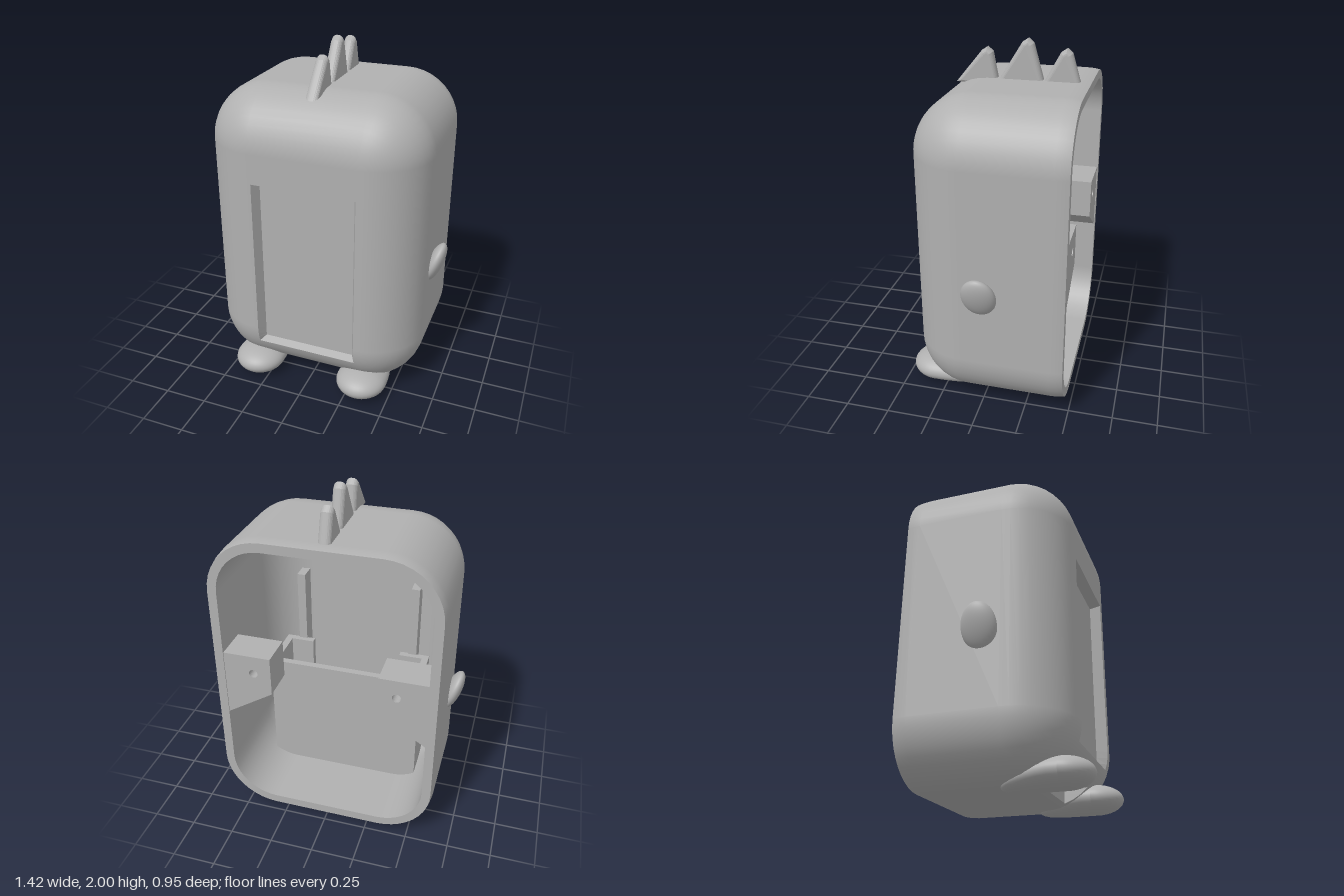
import * as THREE from 'three';

const rad = THREE.MathUtils.degToRad;
// Body: rounded box of fillet radius R, cut open at the back
const R = 0.32, CX = 0.315, TOP = 1.465, BOT = 0.35, ZC = 0.085, BACK = -0.475, FRONT = 0.405;
const WIN = 0.3, SLOT = 0.165;

// Rounded-rectangle loop as corner centres with outward directions, counter-clockwise from the front
function bodyLoop() {
  const pts = [];
  [[CX, TOP], [-CX, TOP], [-CX, BOT], [CX, BOT]].forEach(([x, y], q) => {
    if (q === 3) for (const e of [-WIN, -SLOT, SLOT, WIN]) pts.push({ x: e, y: BOT, dx: 0, dy: -1 });
    for (let i = 0; i <= 10; i++) {
      const a = (q + i / 10) * Math.PI / 2;
      pts.push({ x, y, dx: Math.cos(a), dy: Math.sin(a) });
    }
  });
  pts.push(pts[0]);
  return pts;
}

// Skin swept over rows { r, z, nx, nz, t }, leaving out the quads that skip() picks
function skin(loop, rows, flip, skip = () => false) {
  const pos = [], nor = [], idx = [], n = loop.length, s = flip ? -1 : 1;
  for (const w of rows) for (const p of loop) {
    pos.push(p.x + p.dx * w.r, p.y + p.dy * w.r, w.z);
    nor.push(s * p.dx * w.nx, s * p.dy * w.nx, s * w.nz);
  }
  for (let i = 0; i < rows.length - 1; i++) for (let j = 0; j < n - 1; j++) {
    if (skip(loop[j], loop[j + 1], rows[i].t, rows[i + 1].t)) continue;
    const a = i * n + j, b = a + 1, c = b + n, d = a + n;
    if (flip) idx.push(a, c, b, a, d, c);
    else idx.push(a, b, c, a, c, d);
  }
  const g = new THREE.BufferGeometry();
  g.setAttribute('position', new THREE.Float32BufferAttribute(pos, 3));
  g.setAttribute('normal', new THREE.Float32BufferAttribute(nor, 3));
  g.setIndex(idx);
  return g;
}

// Flat-shaded closed band between two loops of [x, y, z]
function band(A, B) {
  const pos = [];
  A.forEach((a, i) => {
    const k = (i + 1) % A.length;
    for (const p of [a, A[k], B[k], a, B[k], B[i]]) pos.push(...p);
  });
  const g = new THREE.BufferGeometry();
  g.setAttribute('position', new THREE.Float32BufferAttribute(pos, 3));
  g.computeVertexNormals();
  return g;
}

const polygon = (pts) => new THREE.Shape(pts.map(([x, y]) => new THREE.Vector2(x, y)));
const arcRow = (t, r, zc) => ({
  t, r: r * Math.cos(rad(t)), z: zc + r * Math.sin(rad(t)), nx: Math.cos(rad(t)), nz: Math.sin(rad(t)),
});

export function createModel() {
  const group = new THREE.Group();
  const gray = new THREE.MeshStandardMaterial({ color: 0xb0b0b0, side: THREE.DoubleSide });
  gray.name = 'plain gray';
  const add = (name, geo, x = 0, y = 0, z = 0) => {
    const m = new THREE.Mesh(geo, gray);
    m.name = name;
    m.position.set(x, y, z);
    group.add(m);
    return m;
  };
  const box = (name, x0, x1, y0, y1, z0, z1) =>
    add(name, new THREE.BoxGeometry(x1 - x0, y1 - y0, z1 - z0), (x0 + x1) / 2, (y0 + y1) / 2, (z0 + z1) / 2);
  const plate = (name, w, y0, y1, z) =>
    add(name, new THREE.PlaneGeometry(2 * w, y1 - y0), 0, (y0 + y1) / 2, z);

  // Outer shell, with the window and the cable slot left open
  const loop = bodyLoop();
  const winT = 70.85, slotT = [17.6, 27, 36, 45.3];
  const outer = [-13.56, -7, 0, 9, ...slotT, 54, 62, winT, 77, 83.5, 90].map((t) => arcRow(t, R, ZC));
  outer.slice(0, 2).forEach((w) => { w.z -= 0.485; }); // the back fillet starts further back
  outer.splice(2, 0, { ...arcRow(0, R, -0.4), t: 0 });
  const within = (p, q, w) => p.dy === -1 && q.dy === -1 && Math.abs(p.x) < w + 0.001 && Math.abs(q.x) < w + 0.001;
  add('shell', skin(loop, outer, false, (p, q, t0, t1) =>
    (within(p, q, WIN) && t0 >= winT) || (within(p, q, SLOT) && t0 >= slotT[0] && t1 <= slotT[3])));

  // Flat front around the window
  add('frontFace', new THREE.ShapeGeometry(polygon([
    [-CX, BOT], [-WIN, BOT], [-WIN, 1.29], [WIN, 1.29], [WIN, BOT], [CX, BOT], [CX, TOP], [-CX, TOP],
  ])), 0, 0, FRONT);

  // Inner cavity and the back rim
  const inner = [0, 15, 30, 45, 60, 75, 90].map((t) => arcRow(t, 0.26, 0.05));
  inner.unshift({ ...inner[0], z: BACK });
  add('cavity', skin(loop, inner, true));
  const cavityEnd = plate('cavityFront', CX, BOT, TOP, 0.31);
  cavityEnd.rotation.y = Math.PI;
  const ring = (w) => loop.slice(0, -1).map((p) => [p.x + p.dx * w.r, p.y + p.dy * w.r, BACK]);
  add('backRim', band(ring(inner[0]), ring(outer[0])));

  // Openings that begin on the lower front fillet
  const opening = (w, ts, top) => {
    const right = ts.map((t) => [w, BOT - R * Math.cos(rad(t)), ZC + R * Math.sin(rad(t))]);
    if (top) right.push([w, top, FRONT]);
    return [...right, ...right.map(([x, y, z]) => [-x, y, z]).reverse()];
  };
  const clamp = THREE.MathUtils.clamp;
  const win = opening(WIN, [winT, 77, 83.5, 90], 1.29);
  add('windowFrame', band(win, win.map(([x, y]) => [clamp(x, -0.275, 0.275), clamp(y, 0.265, 1.265), 0.345])));
  plate('windowPanel', 0.275, 0.265, 1.265, 0.345);
  const slot = opening(SLOT, slotT);
  add('cableSlot', band(slot, slot.map(([x, y]) => [x, y, 0.18])));
  plate('cableSlotPanel', SLOT, 0.045, 0.125, 0.18);

  // Inside holder: back plate, side walls, front lips and tall rails
  box('holderBack', -0.46, 0.46, 0.08, 0.82, -0.09, -0.05);
  for (const s of [1, -1]) {
    const side = (name, a, b, ...rest) => box(name, Math.min(s * a, s * b), Math.max(s * a, s * b), ...rest);
    side('holderSide', 0.42, 0.46, 0.12, 0.82, -0.06, 0.22);
    side('holderLip', 0.28, 0.46, 0.13, 0.82, 0.18, 0.22);
    side('holderRail', 0.33, 0.38, 0.2, 1.27, 0.21, 0.315);

    // Screw block with a sloped underside
    const block = polygon([[s * 0.303, 0.86], [s * 0.6, 0.67], [s * 0.6, 1.09], [s * 0.303, 1.09]]);
    block.holes.push(new THREE.Path().absarc(s * 0.405, 0.98, 0.025, 0, Math.PI * 2));
    add('screwBlock', new THREE.ExtrudeGeometry(block, { depth: 0.2, bevelEnabled: false, curveSegments: 12 }), 0, 0, -0.47);

    // Small tilted arm
    const arm = add('arm', new THREE.SphereGeometry(1, 32, 20), s * 0.65, 0.775, -0.02);
    arm.scale.set(0.045, 0.13, 0.096);
    arm.rotation.z = -s * 0.35;

    // Foot: a ball whose rear is drawn out and lowered into the body
    const foot = new THREE.SphereGeometry(1, 36, 24);
    const p = foot.attributes.position;
    for (let i = 0; i < p.count; i++) {
      const z = p.getZ(i), t = Math.max(0, -z);
      p.setXYZ(i, p.getX(i) * 0.15, p.getY(i) * 0.08 - 0.045 * t * t, z * (z < 0 ? 0.33 : 0.155));
    }
    foot.computeVertexNormals();
    add('foot', foot, s * 0.33, 0.085, 0.32);
  }

  // Crest of three rounded spikes; each is [rear z, tip z, front z, tip y]
  for (const [b, m, f, y] of [[0.04, 0.095, 0.265, 1.945], [-0.215, -0.13, 0.04, 2], [-0.415, -0.34, -0.21, 1.955]]) {
    const tip = y - 0.028;
    const spike = polygon([
      [b + 0.015, 1.765], [f - 0.028, 1.765], [m + 0.012, tip - 0.008], [m, tip], [m - 0.009, tip - 0.008],
    ]);
    const geo = new THREE.ExtrudeGeometry(spike, {
      depth: 0.012, bevelThickness: 0.028, bevelSize: 0.026, bevelSegments: 5,
    });
    geo.translate(0, 0, -0.006).rotateY(-Math.PI / 2);
    add('crestSpike', geo);
  }
  return group;
}
